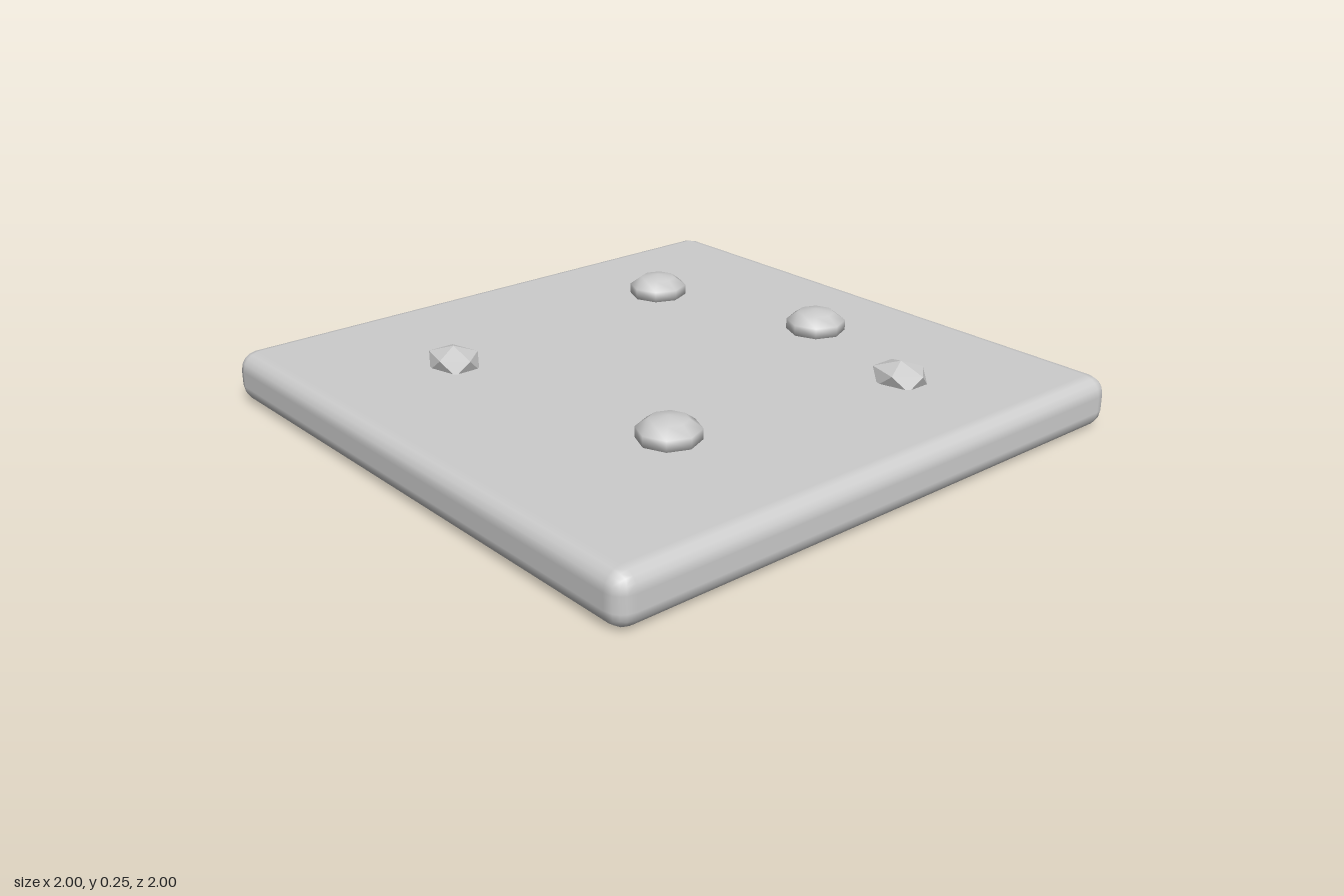
import * as THREE from 'three';
import { RoundedBoxGeometry } from 'three/addons/geometries/RoundedBoxGeometry.js';

const SLAB_TOP = 0.17;

// Low icosahedron with a vertex straight up and one upper-ring vertex toward +x
function rockGeometry() {
  const points = [0, 1, 0];
  for (let i = 0; i < 10; i++) {
    const a = (i * Math.PI) / 5;
    points.push(0.894 * Math.cos(a), i % 2 ? -0.447 : 0.447, 0.894 * Math.sin(a));
  }
  points.push(0, -1, 0);
  const faces = [];
  for (let i = 0; i < 10; i++) {
    const a = 1 + i, b = 1 + ((i + 1) % 10), c = 1 + ((i + 2) % 10);
    if (i % 2 === 0) faces.push(0, c, a, a, c, b);
    else faces.push(11, a, c, a, b, c);
  }
  const indexed = new THREE.BufferGeometry();
  indexed.setAttribute('position', new THREE.Float32BufferAttribute(points, 3));
  indexed.setIndex(faces);
  const geometry = indexed.toNonIndexed();
  geometry.scale(0.104, 0.05, 0.085);
  geometry.computeVertexNormals();
  return geometry;
}

export function createModel() {
  const model = new THREE.Group();
  const stone = new THREE.MeshStandardMaterial({ color: 0xcccccc });
  stone.name = 'stone grey';

  const add = (name, geometry, x, y, z) => {
    const mesh = new THREE.Mesh(geometry, stone);
    mesh.name = name;
    mesh.position.set(x, y, z);
    model.add(mesh);
  };

  // Square ground slab with rounded edges
  add('slab', new RoundedBoxGeometry(2, SLAB_TOP, 2, 2, 0.06), 0, SLAB_TOP / 2, 0);

  // Smooth, flattened pebbles half sunk into the slab
  const pebble = new THREE.SphereGeometry(0.104, 8, 5).scale(1, 0.53, 1);
  [[-0.53, -0.425], [0.1, -0.59], [0.46, 0.375]].forEach(([x, z], i) =>
    add(`pebble${i + 1}`, pebble, x, 0.19, z));

  // Faceted rocks
  const rock = rockGeometry();
  [[-0.425, 0.52], [0.59, -0.465]].forEach(([x, z], i) =>
    add(`rock${i + 1}`, rock, x, 0.185, z));

  return model;
}
